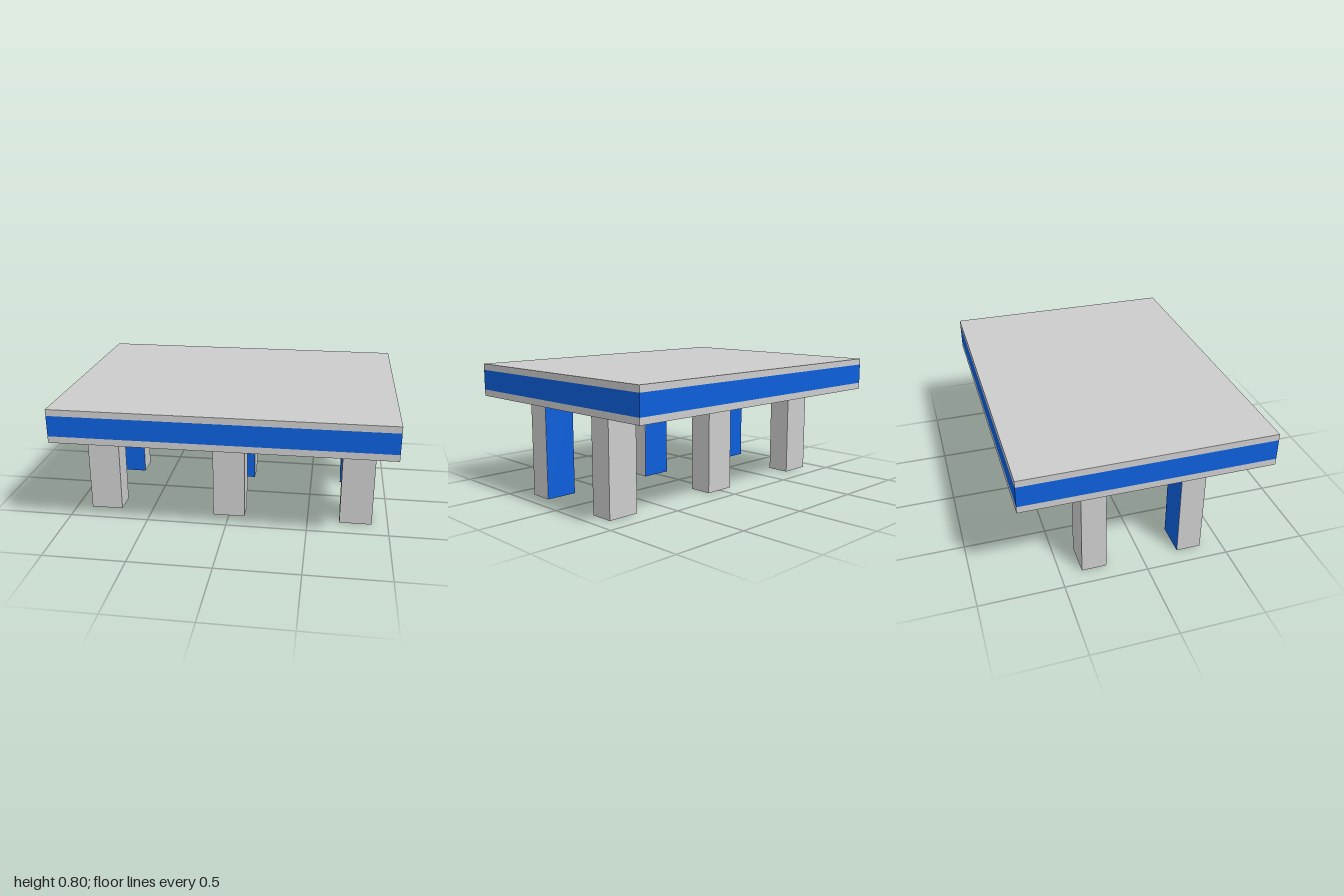
import * as THREE from 'three';

const grey = new THREE.MeshStandardMaterial({ color: 0xcccccc });
const blue = new THREE.MeshStandardMaterial({ color: 0x0d5fdb });

const WIDTH = 2, DEPTH = 1.484;
const LEG_W = 0.2, LEG_D = 0.148, LEG_H = 0.598, LEG_Z = 0.297;

// One horizontal layer of the top, between two heights
function layer(name, y0, y1, material) {
  const mesh = new THREE.Mesh(new THREE.BoxGeometry(WIDTH, y1 - y0, DEPTH), material);
  mesh.name = name;
  mesh.position.y = (y0 + y1) / 2;
  return mesh;
}

// Square post with a blue face on its +z side
function leg(name) {
  const group = new THREE.Group();
  group.name = name;
  const post = new THREE.Mesh(new THREE.BoxGeometry(LEG_W, LEG_H, LEG_D), grey);
  post.name = 'post';
  const face = new THREE.Mesh(new THREE.PlaneGeometry(LEG_W, LEG_H), blue);
  face.name = 'innerFace';
  face.position.z = LEG_D / 2 + 0.001;
  group.add(post, face);
  group.position.y = LEG_H / 2;
  return group;
}

export function createModel() {
  const model = new THREE.Group();
  model.name = 'table';

  // Layered top: grey slab, blue band, grey slab
  model.add(
    layer('lowerSlab', 0.598, 0.638, grey),
    layer('blueBand', 0.638, 0.763, blue),
    layer('upperSlab', 0.763, 0.802, grey)
  );

  // Two rows of three legs, blue faces turned inwards
  for (const [side, x] of [['Right', -0.8], ['Middle', 0], ['Left', 0.8]]) {
    const back = leg('back' + side + 'Leg');
    back.position.x = x;
    back.position.z = -LEG_Z;
    const front = leg('front' + side + 'Leg');
    front.position.x = x;
    front.position.z = LEG_Z;
    front.rotation.y = Math.PI;
    model.add(back, front);
  }
  return model;
}
